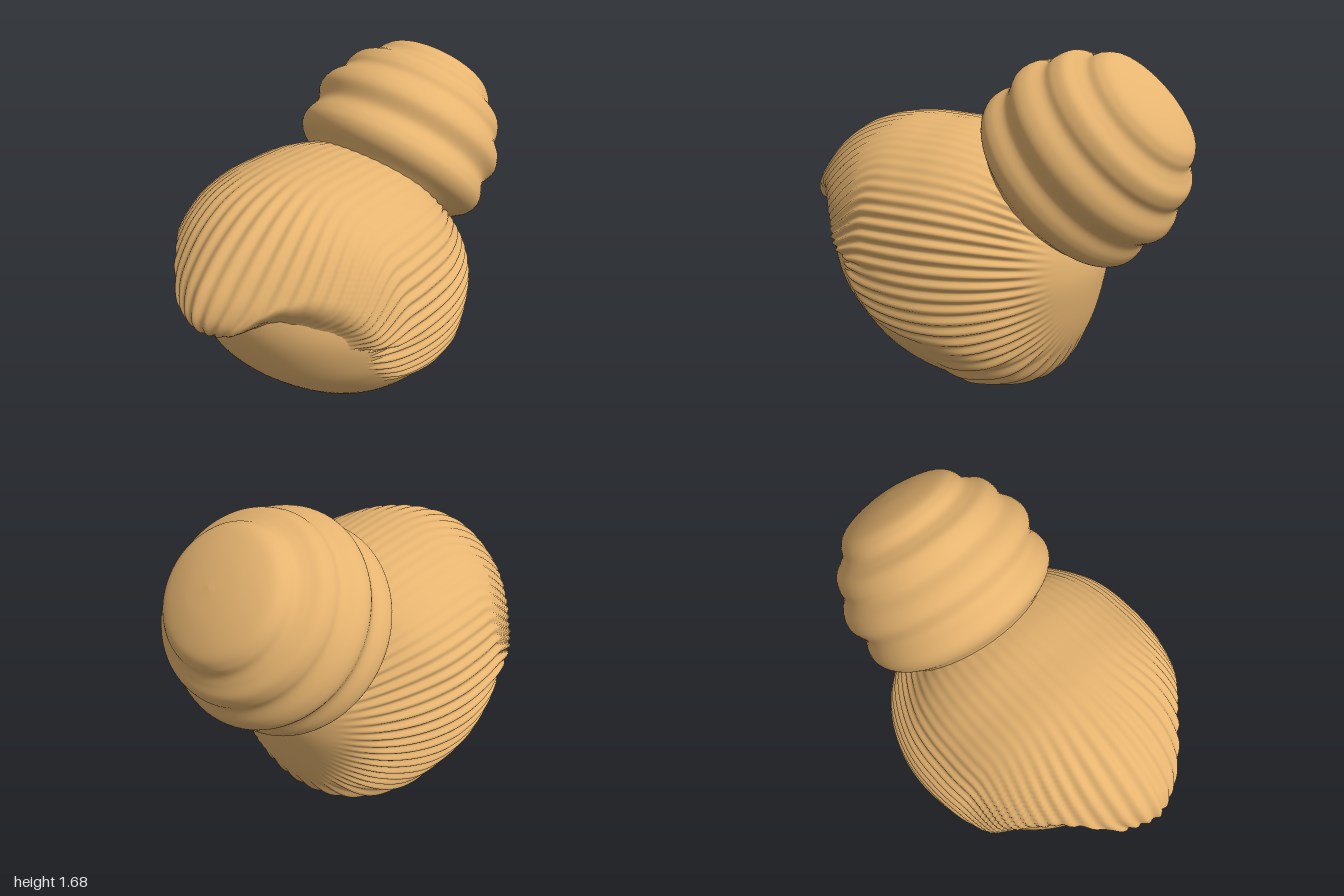
import * as THREE from 'three';

const CENTRE = new THREE.Vector3(0, 0.68, 0.1);
const { smoothstep, lerp, clamp } = THREE.MathUtils;

// Turns a closed side outline of [z, y] points into radius as a function of angle
function polarOutline(points) {
  const curve = new THREE.CatmullRomCurve3(
    points.map(([z, y]) => new THREE.Vector3(z - CENTRE.z, y - CENTRE.y, 0)), true, 'centripetal');
  const table = curve.getPoints(400)
    .map(p => [Math.atan2(p.y, p.x), Math.hypot(p.x, p.y)])
    .sort((a, b) => a[0] - b[0]);
  return piecewise([
    [table.at(-1)[0] - 2 * Math.PI, table.at(-1)[1]], ...table,
    [table[0][0] + 2 * Math.PI, table[0][1]]]);
}

// Linear interpolation through [input, output] pairs
function piecewise(pairs) {
  return x => {
    let i = 1;
    while (i < pairs.length - 1 && pairs[i][0] < x) i++;
    const [a, b] = [pairs[i - 1], pairs[i]];
    return lerp(a[1], b[1], clamp((x - a[0]) / (b[0] - a[0] || 1), 0, 1));
  };
}

// Distance from the centre to a rounded body with the given side outline and half width
function bodyRadius(d, outline, halfWidth, power) {
  const side = outline(Math.atan2(d.y, d.z));
  return (Math.abs(d.x / halfWidth) ** power
    + (Math.hypot(d.y, d.z) / side) ** power) ** (-1 / power);
}

// Closed radial surface with poles on the z axis; keep() can leave areas out
function radialSurface(rows, cols, radiusAt, keep = () => true) {
  const pos = [], index = [], kept = [];
  for (let i = 0; i <= rows; i++) {
    const a = Math.PI * i / rows;
    for (let j = 0; j < cols; j++) {
      const b = 2 * Math.PI * j / cols;
      const d = new THREE.Vector3(Math.sin(a) * Math.sin(b), Math.sin(a) * Math.cos(b), Math.cos(a));
      kept.push(keep(d));
      const p = d.clone().multiplyScalar(radiusAt(d)).add(CENTRE);
      pos.push(p.x, p.y, p.z);
    }
  }
  const addFace = (...f) => { if (f.some(v => kept[v])) index.push(...f); };
  for (let i = 0; i < rows; i++) for (let j = 0; j < cols; j++) {
    const k = (j + 1) % cols;
    const p = i * cols + j, q = i * cols + k, r = p + cols, s = q + cols;
    if (i > 0) addFace(p, q, r);
    if (i < rows - 1) addFace(q, s, r);
  }
  const g = new THREE.BufferGeometry();
  g.setAttribute('position', new THREE.Float32BufferAttribute(pos, 3));
  g.setIndex(index);
  g.computeVertexNormals();
  return g;
}

const skinOutline = polarOutline([
  [0.8, 0.75], [0.73, 0.5], [0.6, 0.33], [0.4, 0.155], [0.2, 0.06], [0, 0.02], [-0.15, 0.025],
  [-0.34, 0.13], [-0.46, 0.3], [-0.54, 0.6], [-0.48, 0.83], [-0.32, 1.03], [0, 1.24],
  [0.35, 1.28], [0.62, 1.12], [0.77, 0.9]]);
const hairOutline = polarOutline([
  [0.8, 0.74], [0.94, 0.8], [1.0, 0.9], [0.97, 1.0], [0.89, 1.1], [0.76, 1.21], [0.6, 1.295],
  [0.4, 1.338], [0.2, 1.335], [0, 1.315], [-0.2, 1.24], [-0.4, 1.06], [-0.55, 0.85], [-0.59, 0.67],
  [-0.57, 0.5], [-0.5, 0.27], [-0.38, 0.09], [-0.15, 0.01], [0.1, 0.02], [0.4, 0.14],
  [0.62, 0.33], [0.75, 0.5]]);

// Hairline: fringe height across the forehead, and front edge down the side of the head
const fringeY = piecewise([[0, 0.785], [0.1, 0.8], [0.17, 0.84], [0.24, 0.9], [0.3, 0.93],
  [0.4, 0.93], [0.5, 0.89], [0.57, 0.82]]);
const sideZ = piecewise([[0.28, 0], [0.36, 0.06], [0.42, 0.36], [0.6, 0.5], [0.85, 0.62]]);

const skinRadius = d => bodyRadius(d, skinOutline, 0.672, 2.08);
const hairShell = d => bodyRadius(d, hairOutline, 0.692, 2.04 - 0.6 * Math.max(0, d.z) ** 4);

// Crisp edge under the forelock, soft blend into the temples and cheeks
function hairMask(d) {
  const p = d.clone().multiplyScalar(hairShell(d)).add(CENTRE);
  const inside = Math.max(p.y - fringeY(Math.abs(p.x)), sideZ(p.y) - p.z);
  const blend = 0.055 + 0.12 * smoothstep(Math.abs(p.x), 0.15, 0.45);
  return smoothstep(inside, -0.4 * blend, 0.6 * blend);
}

// Combed strands: level on the sides, hanging on the fringe, broad at the nape,
// and calm on the crown, behind the jaw and under the bun
function strandHeight(d) {
  const fringe = smoothstep(d.z, 0.3, 1) * smoothstep(d.y, -0.1, 0.4);
  const angle = Math.atan2(d.x, d.y + 0.65 * fringe);
  const crown = smoothstep(d.y, 0.3, 0.75) * (1 - smoothstep(d.z, 0.35, 0.75));
  const nape = smoothstep(-d.y, 0.45, 0.65);
  const jaw = smoothstep(-d.y, 0.36, 0.48) * (1 - smoothstep(-d.y, 0.5, 0.68))
    * smoothstep(d.z, -0.45, -0.1);
  const calm = (1 - 0.85 * crown) * (1 - jaw) * (1 - smoothstep(-d.z, 0.6, 0.88));
  return calm * lerp(0.0095 * Math.cos(72 * angle), 0.011 * Math.cos(36 * angle), nape)
    * (1 - 0.4 * fringe);
}

const hairRadius = d =>
  lerp(skinRadius(d) * 0.99, hairShell(d) + strandHeight(d), hairMask(d));

export function createModel() {
  const model = new THREE.Group();
  const material = new THREE.MeshStandardMaterial({ color: 0xe6b470 });
  const add = (name, geometry) => {
    const mesh = new THREE.Mesh(geometry, material);
    mesh.name = name;
    model.add(mesh);
    return mesh;
  };

  add('head', radialSurface(64, 96, skinRadius));
  add('combedHair', radialSurface(110, 504, hairRadius, d => hairMask(d) > 0.01));

  // Coiled bun leaning up and back
  const profile = new THREE.SplineCurve([
    [0.3, -0.2], [0.41, -0.1], [0.475, -0.05], [0.503, 0], [0.5, 0.05], [0.478, 0.12],
    [0.506, 0.2], [0.49, 0.265], [0.445, 0.325], [0.437, 0.375], [0.415, 0.425], [0.37, 0.458],
    [0.335, 0.487], [0.313, 0.53], [0.265, 0.57], [0.14, 0.604], [0, 0.617],
  ].map(p => new THREE.Vector2(...p))).getPoints(96);
  profile.forEach(p => { p.x = Math.max(p.x, 0); });
  const bun = add('hairBun', new THREE.LatheGeometry(profile, 80));
  bun.position.set(0, 1.078, -0.4);
  bun.rotation.x = Math.atan2(-0.74, 0.68);

  return model;
}
